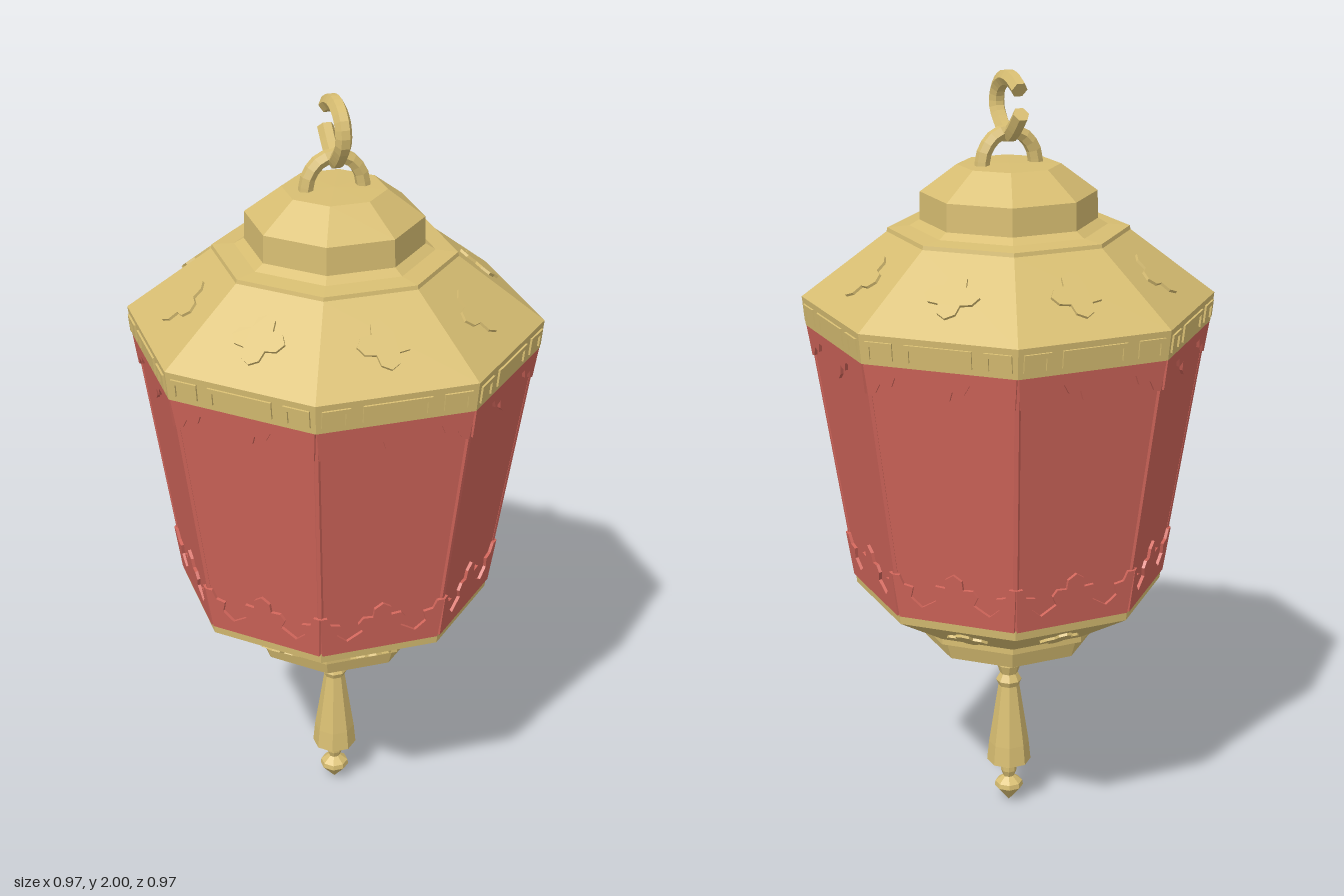
import * as THREE from 'three';

const gold = new THREE.MeshStandardMaterial({ color: 0xd8be72 });
gold.name = 'antique gold';
const red = new THREE.MeshStandardMaterial({ color: 0xd0655a });
red.name = 'lantern red';

const V = (x, y, z) => new THREE.Vector3(x, y, z);

// faceted mesh
function part(name, geometry, material) {
  const g = geometry.index ? geometry.toNonIndexed() : geometry;
  g.computeVertexNormals();
  const mesh = new THREE.Mesh(g, material);
  mesh.name = name;
  return mesh;
}

// eight-sided solid from [apothem, y] pairs, listed upwards, with flats on the axes
function octagon(name, profile, material) {
  const k = 1 / Math.cos(Math.PI / 8);
  const pts = profile.map(([a, y]) => new THREE.Vector2(a * k, y));
  return part(name, new THREE.LatheGeometry(pts, 8, Math.PI / 8), material);
}

// group lying on side i, halfway between two [apothem, y] rings
function onSide(i, [a0, y0], [a1, y1]) {
  const turn = new THREE.Group();
  turn.rotation.y = i * Math.PI / 4;
  const face = new THREE.Group();
  face.position.set(0, (y0 + y1) / 2, (a0 + a1) / 2);
  face.rotation.x = Math.atan2(a1 - a0, y1 - y0);
  turn.add(face);
  return { turn, face };
}

function plate(name, points, material, depth) {
  const shape = new THREE.Shape(points.map(([x, y]) => new THREE.Vector2(x, y)));
  const geo = new THREE.ExtrudeGeometry(shape, { depth: depth + 0.004, bevelEnabled: false });
  geo.translate(0, 0, -0.004);
  return part(name, geo, material);
}

// four-lobed ornament
function rosette(w, h) {
  const pts = [];
  for (let i = 0; i < 16; i++) {
    const t = i * Math.PI / 8;
    const r = [1, 0.86, 0.56, 0.86][i % 4];
    pts.push([Math.cos(t) * r * w, Math.sin(t) * r * h]);
  }
  return pts;
}

// mirrored half outline, closed along its base
const mirrored = half => [...half, ...half.filter(p => p[0] > 0).reverse().map(([x, y]) => [-x, y])];

function rod(name, a, b, radius, material) {
  const geo = new THREE.CylinderGeometry(radius, radius, a.distanceTo(b), 6);
  const mesh = part(name, geo, material);
  mesh.position.copy(a).add(b).multiplyScalar(0.5);
  mesh.quaternion.setFromUnitVectors(V(0, 1, 0), b.clone().sub(a).normalize());
  return mesh;
}

// bent bar with closed ends
function bar(name, points, radius, steps) {
  const curve = new THREE.CatmullRomCurve3(points);
  const group = new THREE.Group();
  group.name = name;
  group.add(part(name + 'Bar', new THREE.TubeGeometry(curve, steps, radius, 6), gold));
  for (const t of [0, 1]) {
    const cap = part(name + 'End', new THREE.CircleGeometry(radius, 6), gold);
    const dir = curve.getTangent(t).multiplyScalar(t ? 1 : -1);
    cap.position.copy(curve.getPoint(t));
    cap.quaternion.setFromUnitVectors(V(0, 0, 1), dir);
    group.add(cap);
  }
  return group;
}

export function createModel() {
  const model = new THREE.Group();
  model.name = 'hangingLantern';

  const eave = [0.484, 1.435], roofTop = [0.283, 1.6];
  const bodyTop = [0.468, 1.362], bodyLow = [0.372, 0.68];
  const baseTop = [0.372, 0.655], baseLow = [0.235, 0.565];

  // shell
  model.add(octagon('roof', [[0.462, 1.36], [0.476, 1.36], eave, roofTop, [0.281, 1.61],
    [0.23, 1.615], [0.207, 1.63], [0.205, 1.7], [0.12, 1.768], [0, 1.77]], gold));
  model.add(octagon('body', [bodyLow, bodyTop], red));
  model.add(octagon('base', [[0, 0.5], [0.205, 0.5], [0.218, 0.545], [0.235, 0.55], baseLow,
    baseTop, [0.375, 0.682], [0.365, 0.684]], gold));

  // outlines in face coordinates: origin at the middle of the face
  const bodyHalf = Math.hypot(bodyTop[0] - bodyLow[0], bodyTop[1] - bodyLow[1]) / 2;
  const lowerLace = mirrored([[0, 0.14], [0.022, 0.125], [0.024, 0.1], [0.05, 0.102], [0.062, 0.085],
    [0.05, 0.06], [0.09, 0.035], [0.118, 0.06], [0.11, 0.09], [0.135, 0.095], [0.145, 0.12],
    [0.163, 0.12], [0.153, 0]]).map(([x, y]) => [x, y - bodyHalf]);
  const upperLace = mirrored([[0, -0.092], [0.022, -0.075], [0.03, -0.05], [0.06, -0.055], [0.075, -0.03],
    [0.115, -0.03], [0.125, -0.055], [0.155, -0.05], [0.168, -0.075], [0.186, -0.08],
    [0.194, 0]]).map(([x, y]) => [x, y + bodyHalf]);

  for (let i = 0; i < 8; i++) {
    // rosettes on roof and base
    const roofSide = onSide(i, eave, roofTop);
    roofSide.face.add(plate('roofRosette', rosette(0.07, 0.068), gold, 0.007));
    const baseSide = onSide(i, baseLow, baseTop);
    baseSide.face.add(plate('baseRosette', rosette(0.055, 0.052), gold, 0.007));

    // lace borders on the red panel
    const bodySide = onSide(i, bodyLow, bodyTop);
    bodySide.face.add(plate('lowerLace', lowerLace, red, 0.008),
      plate('upperLace', upperLace, red, 0.008));

    // raised frames on the eave band
    const bandSide = onSide(i, [0.476, 1.36], eave);
    for (const [x, w] of [[0, 0.17], [-0.15, 0.07], [0.15, 0.07]]) {
      const lintel = part('bandFrameTop', new THREE.BoxGeometry(w, 0.012, 0.01), gold);
      lintel.position.set(x, 0.016, 0);
      bandSide.face.add(lintel);
      for (const s of [-1, 1]) {
        const post = part('bandFramePost', new THREE.BoxGeometry(0.012, 0.036, 0.01), gold);
        post.position.set(x + s * (w / 2 - 0.006), -0.004, 0);
        bandSide.face.add(post);
      }
    }
    model.add(roofSide.turn, baseSide.turn, bodySide.turn, bandSide.turn);

    // slim ribs along the corners
    const t = (i + 0.5) * Math.PI / 4;
    const corner = ([a, y]) => {
      const r = a / Math.cos(Math.PI / 8) - 0.006;
      return V(Math.sin(t) * r, y, Math.cos(t) * r);
    };
    model.add(rod('bodyRib', corner(bodyLow), corner(bodyTop), 0.009, red));
  }

  // hanging arch and open hook
  model.add(bar('hangingArch', [V(-0.075, 1.755, 0), V(-0.065, 1.805, 0), V(-0.035, 1.84, 0),
    V(0, 1.848, 0), V(0.035, 1.84, 0), V(0.065, 1.805, 0), V(0.075, 1.755, 0)], 0.019, 12));
  model.add(bar('hook', [V(0, 1.957, -0.062), V(0, 1.976, -0.025), V(0, 1.978, 0.02),
    V(0, 1.95, 0.062), V(0, 1.905, 0.072), V(0, 1.865, 0.045), V(0, 1.838, 0.005),
    V(0, 1.858, -0.03), V(0, 1.9, -0.072)], 0.021, 22));

  // four arms that hold the tassel
  for (let i = 0; i < 4; i++) {
    const arm = bar('tasselArm', [V(0.082, 0.51, 0), V(0.08, 0.475, 0), V(0.05, 0.447, 0),
      V(0, 0.44, 0)], 0.017, 6);
    arm.rotation.y = i * Math.PI / 2;
    model.add(arm);
  }

  // tassel, and the drop below it
  model.add(octagon('tassel', [[0, 0.125], [0.055, 0.125], [0.05, 0.18], [0.026, 0.35], [0.032, 0.365],
    [0.022, 0.385], [0.03, 0.41], [0.024, 0.44], [0, 0.465]], gold));
  model.add(octagon('drop', [[0, 0], [0.012, 0.015], [0.036, 0.045], [0.034, 0.058], [0.014, 0.075],
    [0.02, 0.092], [0.02, 0.105], [0.012, 0.13]], gold));

  return model;
}
